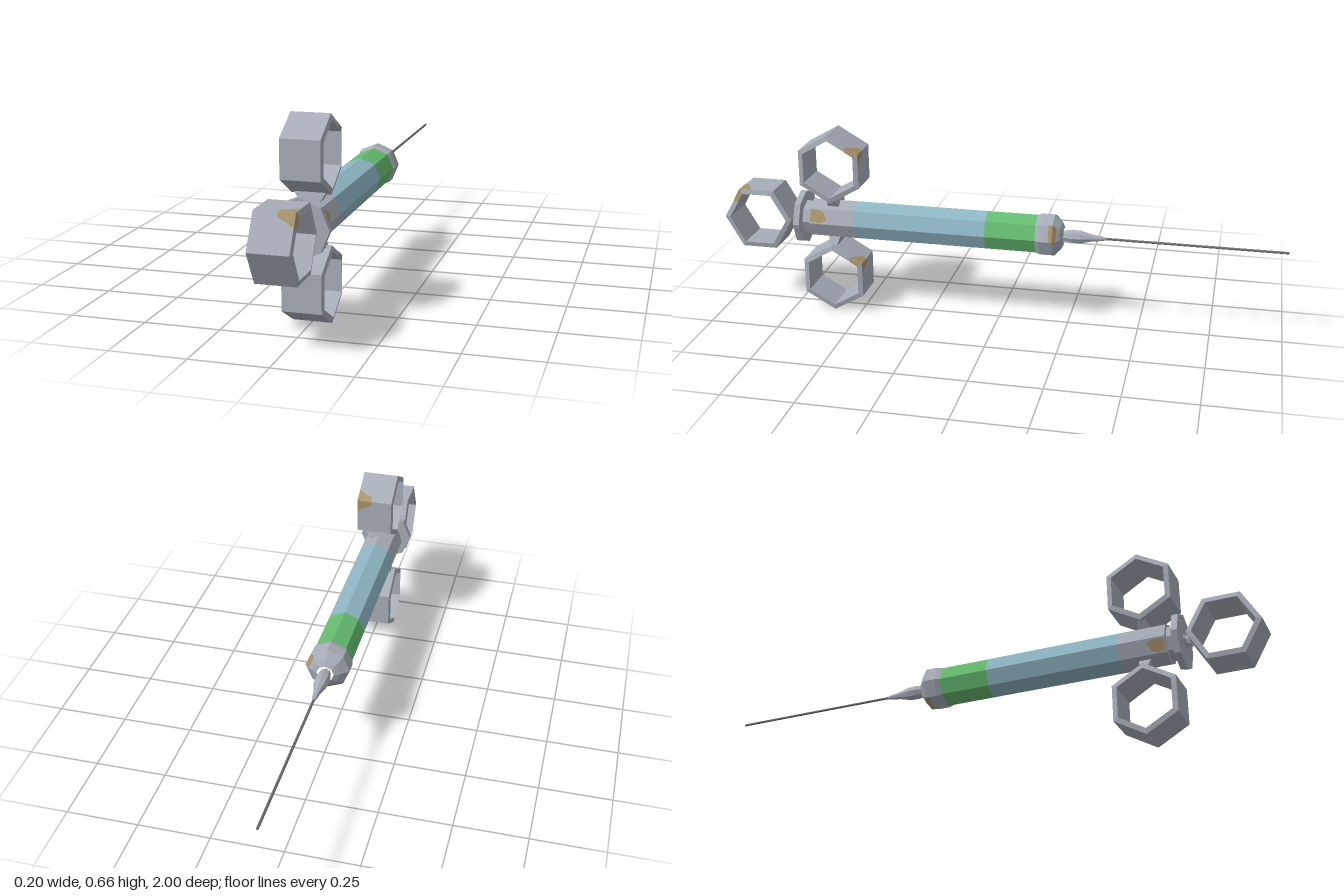
import * as THREE from 'three';

const mat = (name, color, side = THREE.FrontSide) => {
  const m = new THREE.MeshStandardMaterial({ color, side });
  m.name = name;
  return m;
};
const metal = mat('metal', 0xa7adb8);
const glass = mat('blueGlass', 0x8fb5c4);
const green = mat('greenFluid', 0x65bb70);
const dark = mat('needleSteel', 0x6c6e74);
const rust = mat('rust', 0xa9946c, THREE.DoubleSide);

const AXIS_Y = 0.333; // height of the barrel axis
const R = 0.1255, RI = 0.106; // ring radii
const V2 = (p) => new THREE.Vector2(p[0], p[1]);

function faceted(name, geo, material) {
  const g = geo.index ? geo.toNonIndexed() : geo;
  g.computeVertexNormals();
  const mesh = new THREE.Mesh(g, material);
  mesh.name = name;
  return mesh;
}

// Turned part along z; profile is [radius, z] with z increasing
function turned(name, profile, material, sides = 8) {
  const g = new THREE.LatheGeometry(profile.map(V2), sides).rotateX(Math.PI / 2);
  const mesh = faceted(name, g, material);
  mesh.position.y = AXIS_Y;
  return mesh;
}

const blob = (pts) => new THREE.ShapeGeometry(new THREE.Shape(pts.map(V2)));

// Hexagonal finger ring around the x axis, with rust around one corner
function fingerRing(name, y, z, turn) {
  const group = new THREE.Group();
  group.name = name;
  const profile = [[RI, -0.068], [R, -0.064], [R, 0.064], [RI, 0.068], [RI, -0.068]];
  group.add(faceted('ringBody', new THREE.LatheGeometry(profile.map(V2), 6).rotateZ(-Math.PI / 2), metal));

  // rust on the two faces beside the corner
  const flat = R * Math.cos(Math.PI / 6) + 0.001;
  const stain = [[0.012, 0], [0.010, 0.012], [0.020, 0.022], [0.034, 0.026], [0.048, 0.036], [0.064, 0.046], [0.064, 0]];
  const first = blob(stain).rotateX(-Math.PI / 2).translate(0, flat, R / 2);
  const second = blob(stain.map(([x, s]) => [x, -s])).rotateX(-Math.PI / 2)
    .translate(0, flat, -R / 2).rotateX(Math.PI / 3);
  group.add(faceted('rustPatch', first, rust), faceted('rustPatch', second, rust));

  // rust on the rim
  const rim = (r, t, x) => new THREE.Vector3(x, r * Math.sin(Math.PI / 3) * (1 - t), r * (0.5 + 0.5 * t));
  const [a, b, c, d] = [rim(R, 0, 0.065), rim(R, 0.42, 0.065), rim(RI, 0.32, 0.069), rim(RI, 0, 0.069)];
  group.add(faceted('rustRim', new THREE.BufferGeometry().setFromPoints([a, c, b, a, d, c]), rust));

  group.rotation.x = turn;
  group.position.set(0, y, z);
  return group;
}

// Wedge joining a ring to the barrel, wide at the ring
function ringMount(name, side) {
  const g = new THREE.BoxGeometry(1, 0.05, 1);
  const p = g.attributes.position;
  for (let i = 0; i < p.count; i++) {
    const top = p.getY(i) > 0;
    p.setX(i, p.getX(i) * (top ? 0.11 : 0.05));
    p.setZ(i, p.getZ(i) * (top ? 0.022 : 0.05));
  }
  const mesh = faceted(name, g, metal);
  mesh.position.set(0, AXIS_Y + side * 0.069, 0.599);
  if (side < 0) mesh.rotation.z = Math.PI;
  return mesh;
}

// Flat stain on one long facet of the barrel
function barrelStain(pts, facet, apothem) {
  const g = blob(pts).rotateY(-Math.PI / 2).translate(apothem, 0, 0).rotateZ((facet + 0.5) * Math.PI / 4);
  const mesh = faceted('barrelRust', g, rust);
  mesh.position.y = AXIS_Y;
  return mesh;
}

// Stain covering part of the nose cone on one facet
function noseStain(facet) {
  const g = new THREE.LatheGeometry([[0.036, -0.2295], [0.067, -0.2075], [0.078, -0.1985], [0.078, -0.185]].map(V2),
    1, facet * Math.PI / 4, Math.PI / 4).rotateX(Math.PI / 2);
  const mesh = faceted('noseRust', g, rust);
  mesh.position.y = AXIS_Y;
  return mesh;
}

export function createModel() {
  const model = new THREE.Group();
  model.name = 'syringe';

  // Barrel sections
  model.add(
    turned('fluid', [[0.071, -0.15], [0.071, 0.04]], green),
    turned('glassBarrel', [[0.071, 0.04], [0.071, 0.515]], glass),
    turned('rearSleeve', [[0.071, 0.515], [0.071, 0.68], [0.061, 0.682], [0.061, 0.71]], metal),
    turned('flange', [[0, 0.708], [0.098, 0.708], [0.098, 0.73], [0, 0.73]], metal),
    turned('plungerNeck', [[0.028, 0.728], [0.017, 0.738], [0.026, 0.752], [0, 0.756]], metal)
  );

  // Nose cap, hub and needle
  model.add(
    turned('noseCap', [[0.03, -0.232], [0.05, -0.222], [0.077, -0.198], [0.077, -0.155], [0.071, -0.138]], metal),
    turned('needleHub', [[0.004, -0.38], [0.009, -0.365], [0.013, -0.33], [0.024, -0.29], [0.025, -0.26], [0.018, -0.225]], metal),
    turned('needle', [[0, -1], [0.0045, -0.995], [0.0045, -0.37]], dark, 6)
  );

  // Finger rings and thumb ring
  model.add(
    fingerRing('upperFingerRing', 0.5375, 0.599, -Math.PI / 2),
    fingerRing('lowerFingerRing', 0.1265, 0.599, -Math.PI / 2),
    fingerRing('thumbRing', AXIS_Y, 1 - R, 0),
    ringMount('upperRingMount', 1),
    ringMount('lowerRingMount', -1)
  );

  // Rust on barrel and nose
  const stain = [[0.615, -0.012], [0.63, 0.016], [0.65, 0.024], [0.676, 0.022], [0.676, -0.02], [0.64, -0.024]];
  const apothem = 0.071 * Math.cos(Math.PI / 8) + 0.001;
  model.add(barrelStain(stain, 0, apothem), barrelStain(stain, 4, apothem));
  model.add(noseStain(2), noseStain(7));
  return model;
}
